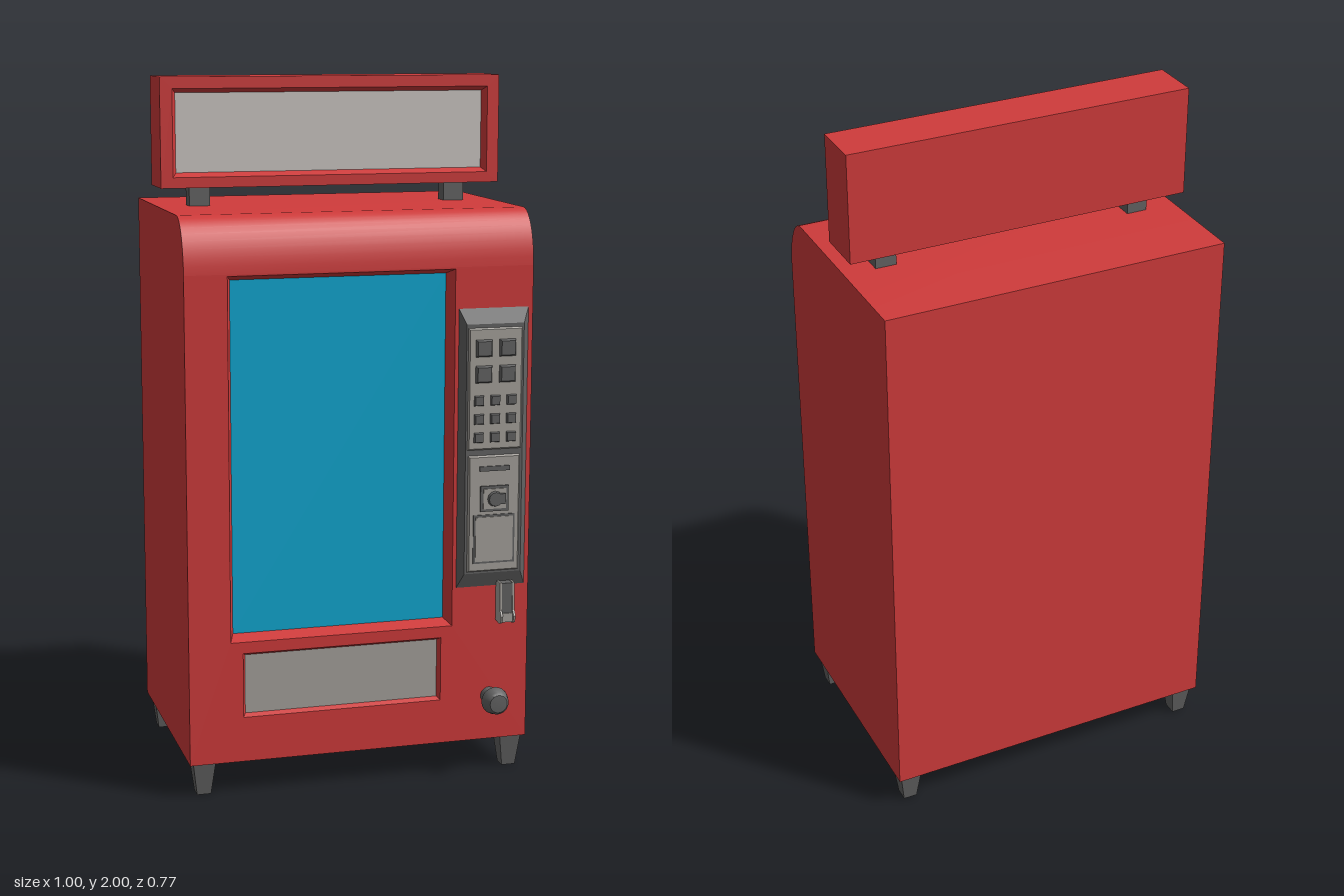
import * as THREE from 'three';
import { toCreasedNormals } from 'three/addons/utils/BufferGeometryUtils.js';

const flat = (name, color) => {
  const m = new THREE.MeshStandardMaterial({ color });
  m.name = name;
  return m;
};

export function createModel() {
  const root = new THREE.Group();
  root.name = 'vendingMachine';
  const red = flat('red paint', 0xd03b3b);
  const blue = flat('blue glass', 0x0da8d2);
  const pale = flat('pale sign panel', 0xccc7c3);
  const grey = flat('grey metal', 0xa6a29c);
  const dark = flat('dark metal', 0x636363);

  const add = (name, geo, mat, x = 0, y = 0, z = 0, parent = root) => {
    const m = new THREE.Mesh(geo, mat);
    m.name = name;
    m.position.set(x, y, z);
    parent.add(m);
    return m;
  };
  const box = (name, mat, x, y, z, w, h, d) =>
    add(name, new THREE.BoxGeometry(w, h, d), mat, x, y, z);

  // Skin over rectangular sections [cx, cy, width, height, z]; the last may be capped
  const loft = (sections, cap = true) => {
    const loops = sections.map(([cx, cy, w, h, z]) =>
      [[-1, -1], [1, -1], [1, 1], [-1, 1]].map(([a, b]) => [cx + a * w / 2, cy + b * h / 2, z]));
    const p = [];
    const quad = (a, b, c, d) => p.push(...a, ...b, ...c, ...a, ...c, ...d);
    for (let i = 0; i + 1 < loops.length; i++) {
      for (let k = 0; k < 4; k++) {
        const n = (k + 1) % 4;
        quad(loops[i][k], loops[i][n], loops[i + 1][n], loops[i + 1][k]);
      }
    }
    if (cap) quad(...loops[loops.length - 1]);
    const g = new THREE.BufferGeometry();
    g.setAttribute('position', new THREE.Float32BufferAttribute(p, 3));
    g.computeVertexNormals();
    return g;
  };

  const rectPath = (path, x0, y0, x1, y1) => {
    path.moveTo(x0, y0);
    path.lineTo(x1, y0);
    path.lineTo(x1, y1);
    path.lineTo(x0, y1);
    path.closePath();
    return path;
  };
  // Front slab with rectangular openings
  const slab = (name, outer, holes, z, depth) => {
    const s = rectPath(new THREE.Shape(), ...outer);
    holes.forEach(h => s.holes.push(rectPath(new THREE.Path(), ...h)));
    return add(name, new THREE.ExtrudeGeometry(s, { depth, bevelEnabled: false }), red, 0, 0, z);
  };
  // Sloped surround and sunken panel for an opening
  const recess = (name, [x0, y0, x1, y1], z, depth, inset, mat) => {
    const cx = (x0 + x1) / 2, cy = (y0 + y1) / 2, w = x1 - x0, h = y1 - y0;
    const inner = [cx, cy, w - 2 * inset, h - 2 * inset, z - depth];
    add(name + 'Surround', loft([[cx, cy, w, h, z], inner], false), red);
    add(name + 'Panel', new THREE.PlaneGeometry(inner[2], inner[3]), mat, cx, cy, z - depth);
  };

  // Cabinet: side profile swept across the width, with a rounded top front edge
  const front = 0.295, inside = 0.25, curveY = 1.48;
  const profile = new THREE.Shape();
  profile.moveTo(0.385, 0.095);
  profile.lineTo(0.385, 1.635);
  profile.lineTo(-0.205, 1.635);
  for (let i = 1; i <= 10; i++) {
    const a = (i / 10) * Math.PI / 2;
    profile.lineTo(-0.205 - 0.09 * Math.sin(a), curveY + 0.155 * Math.cos(a));
  }
  profile.lineTo(-inside, curveY);
  profile.lineTo(-inside, 0.095);
  profile.closePath();
  const shell = new THREE.ExtrudeGeometry(profile, { depth: 1, bevelEnabled: false });
  shell.translate(0, 0, -0.5);
  shell.rotateY(Math.PI / 2);
  add('cabinet', toCreasedNormals(shell, 0.6), red);

  const windowHole = [-0.38, 0.445, 0.27, 1.475];
  const trayHole = [-0.345, 0.225, 0.237, 0.412];
  slab('cabinetFront', [-0.5, 0.095, 0.5, curveY], [windowHole, trayHole], inside, front - inside);
  recess('window', windowHole, front, 0.042, 0.015, blue);
  recess('tray', trayHole, front, 0.015, 0.008, grey);

  // Sign on two posts
  box('signBack', red, 0, 1.845, -0.1, 1, 0.31, 0.12);
  const signHole = [-0.465, 1.72, 0.465, 1.967];
  slab('signFront', [-0.5, 1.69, 0.5, 2], [signHole], -0.04, 0.027);
  recess('sign', signHole, -0.013, 0.022, 0.012, pale);
  for (const s of [-1, 1]) box('signPost', dark, s * 0.38, 1.663, -0.087, 0.06, 0.06, 0.05);

  // Tapered feet
  const foot = loft([[0, 0, 0.065, 0.065, -0.097], [0, 0, 0.04, 0.04, 0]]);
  foot.rotateX(Math.PI / 2);
  for (const x of [-0.457, 0.457]) for (const z of [0.253, -0.338]) add('foot', foot, dark, x, 0, z);

  // Control panel: bevelled dark frame with grey plates
  const px = 0.384;
  add('controlFrame', loft([[px, 0.96, 0.206, 0.806, front - 0.005], [px, 0.96, 0.206, 0.806, front],
    [px, 0.96, 0.17, 0.72, 0.312]]), dark);
  add('keypadPlate', loft([[px, 1.135, 0.162, 0.35, 0.311], [px, 1.135, 0.152, 0.34, 0.317]]), grey);
  add('paymentPlate', loft([[px, 0.775, 0.156, 0.34, 0.311], [px, 0.775, 0.146, 0.33, 0.319]]), grey);
  for (const x of [-0.035, 0.035]) for (const y of [1.252, 1.178])
    add('largeButton', loft([[0, 0, 0.05, 0.05, 0], [0, 0, 0.04, 0.04, 0.01]]), dark, px + x, y, 0.316);
  for (const x of [-0.048, 0, 0.048]) for (const y of [1.103, 1.05, 0.997])
    add('smallButton', loft([[0, 0, 0.03, 0.03, 0], [0, 0, 0.024, 0.024, 0.009]]), dark, px + x, y, 0.316);
  box('noteSlot', dark, px, 0.907, 0.319, 0.09, 0.014, 0.008);

  // Coin lock and coin door
  box('lockBorder', dark, px, 0.82, 0.32, 0.084, 0.074, 0.008);
  box('lockPlate', grey, px, 0.82, 0.322, 0.068, 0.058, 0.01);
  const barrel = new THREE.CylinderGeometry(0.02, 0.023, 0.012, 12);
  barrel.rotateX(Math.PI / 2);
  add('lockBarrel', barrel, dark, px, 0.82, 0.331);
  box('lockKey', dark, px + 0.017, 0.82, 0.331, 0.025, 0.03, 0.009);
  box('doorBorder', dark, px, 0.702, 0.319, 0.124, 0.142, 0.006);
  box('coinDoor', grey, px, 0.702, 0.3205, 0.112, 0.13, 0.008);

  // Coin return chute: grey cheeks and cup around a dark channel
  const cheek = new THREE.Shape();
  cheek.moveTo(-0.29, 0.572);
  cheek.lineTo(-0.33, 0.572);
  cheek.lineTo(-0.334, 0.49);
  cheek.lineTo(-0.345, 0.475);
  cheek.lineTo(-0.34, 0.455);
  cheek.lineTo(-0.325, 0.45);
  cheek.lineTo(-0.29, 0.455);
  cheek.closePath();
  const cheekGeo = new THREE.ExtrudeGeometry(cheek, { depth: 0.006, bevelEnabled: false });
  cheekGeo.translate(0, 0, -0.003);
  cheekGeo.rotateY(Math.PI / 2);
  for (const s of [-1, 1]) add('chuteCheek', cheekGeo, grey, 0.424 + s * 0.019, 0, 0);
  box('chuteChannel', dark, 0.424, 0.525, 0.312, 0.034, 0.09, 0.036);
  box('chuteCup', grey, 0.424, 0.468, 0.314, 0.034, 0.026, 0.04);

  // Knob turned on a short stem
  const knobProfile = [[0.025, 0], [0.025, 0.052], [0.04, 0.054], [0.039, 0.062], [0.033, 0.083],
    [0.026, 0.09], [0, 0.092]].map(([r, h]) => new THREE.Vector2(r, h));
  const knob = new THREE.LatheGeometry(knobProfile, 20);
  knob.rotateX(Math.PI / 2);
  add('knob', toCreasedNormals(knob, 0.7), dark, 0.385, 0.227, front - 0.003);

  return root;
}
